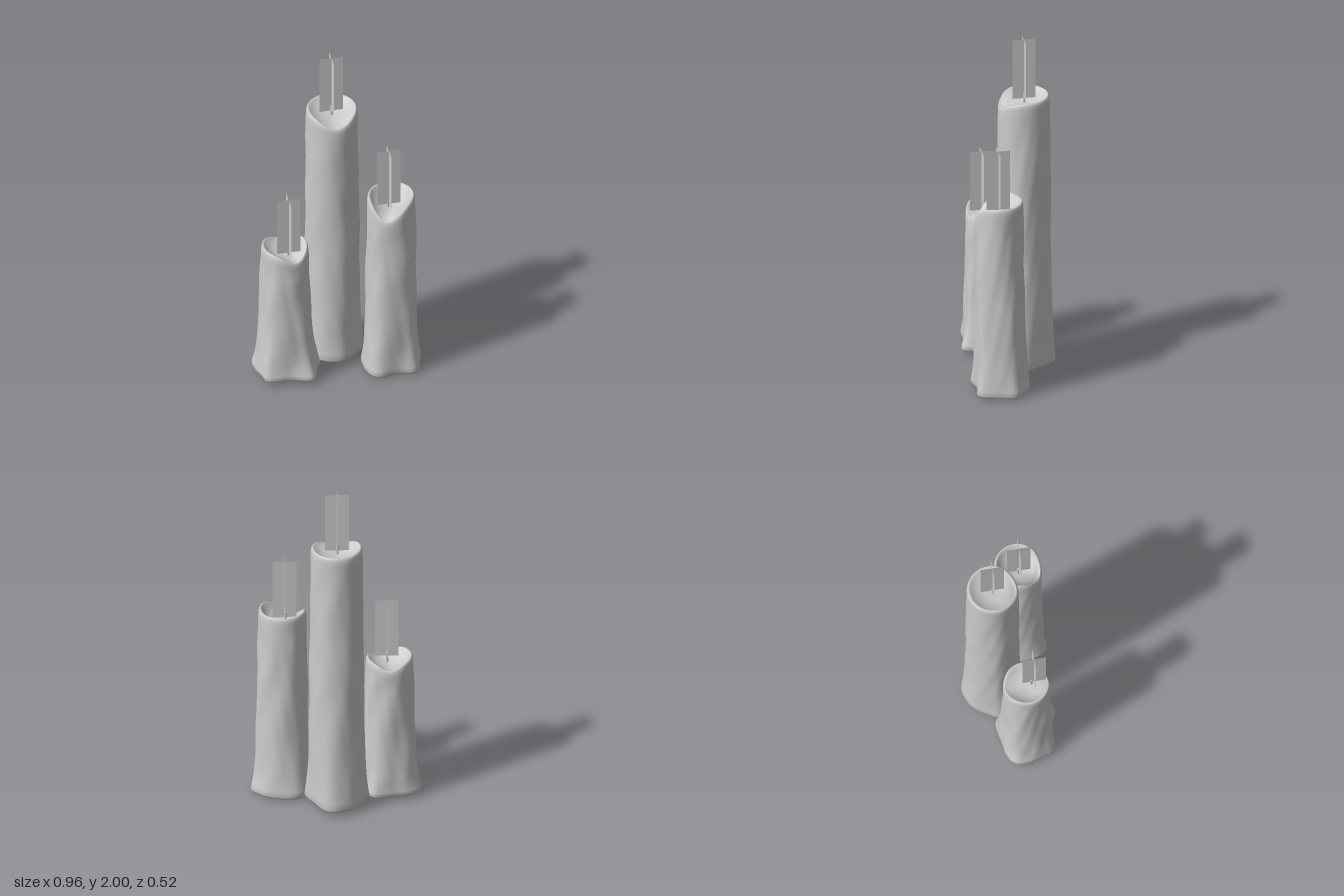
import * as THREE from 'three';

const SIDES = 56;

// x, z outlines of the spread wax at the foot; dips are [angle, width, depth] sags in the rim; flame is x, y, z
const candles = [
  {
    name: 'tallCandle', x: 0, z: -0.086, r: 0.146, base: 0.027, rim: 1.665, floor: 1.615, lump: 0.003,
    foot: [0.02, -0.262, 0.07, -0.245, 0.13, -0.155, 0.18, -0.06, 0.172, -0.03, 0.065, 0.067, 0.02, 0.086,
      -0.06, 0.073, -0.105, 0.045, -0.14, 0, -0.185, -0.075, -0.165, -0.12, -0.1, -0.215, -0.05, -0.245],
    dips: [[1.57, 0.8, 0.06]], flame: [-0.002, 1.64, -0.087], wick: [-0.003, -0.087],
  },
  {
    name: 'shortCandle', x: -0.302, z: 0.055, r: 0.133, base: 0.025, rim: 0.87, floor: 0.81, lump: 0.005,
    foot: [-0.21, -0.108, -0.185, -0.085, -0.1, 0.065, -0.125, 0.115, -0.147, 0.18, -0.165, 0.23, -0.2, 0.234,
      -0.29, 0.205, -0.435, 0.19, -0.45, 0.14, -0.477, 0.05, -0.47, -0.04, -0.41, -0.08, -0.345, -0.09],
    dips: [[1.2, 0.7, 0.06], [-1.57, 0.6, 0.035]], flame: [-0.289, 0.838, 0.1], wick: [-0.29, 0.083],
  },
  {
    name: 'middleCandle', x: 0.297, z: 0.11, r: 0.135, base: 0.005, rim: 1.157, floor: 1.07, lump: 0.004,
    foot: [0.27, -0.066, 0.385, -0.04, 0.45, 0.01, 0.476, 0.04, 0.465, 0.115, 0.425, 0.24, 0.405, 0.255,
      0.31, 0.24, 0.195, 0.257, 0.15, 0.22, 0.13, 0.1, 0.145, 0.025, 0.18, -0.04, 0.225, -0.063],
    dips: [[2.0, 0.8, 0.1]], flame: [0.284, 1.095, 0.114], wick: [0.28, 0.108],
  },
];

// Rings run from the underside, up the melted wall, over the rim and down into the bowl
function waxGeometry(c) {
  const pts = [];
  for (let i = 0; i < c.foot.length; i += 2) pts.push(new THREE.Vector3(c.foot[i] - c.x, 0, c.foot[i + 1] - c.z));
  const foot = new THREE.CatmullRomCurve3(pts, true).getSpacedPoints(SIDES).slice(0, SIDES);
  const columns = foot.map((p) => {
    const a = Math.atan2(p.z, p.x);
    let rim = c.rim;
    for (const [at, width, depth] of c.dips) {
      const d = Math.atan2(Math.sin(a - at), Math.cos(a - at));
      rim -= depth * Math.exp(-((d / width) ** 2));
    }
    return { a, foot: Math.hypot(p.x, p.z), rim };
  });

  const position = [];
  const ring = (fn) => columns.forEach((col) => {
    const [r, y] = fn(col);
    position.push(c.x + Math.cos(col.a) * r, y, c.z + Math.sin(col.a) * r);
  });

  // underside
  ring(() => [0, c.base - 0.005]);
  ring((col) => [col.foot * 0.6, c.base - 0.005]);
  ring((col) => [col.foot * 0.94, c.base]);

  // wall with flared foot and upright, uneven runs of wax
  const STEPS = 40;
  for (let k = 0; k <= STEPS; k++) {
    const t = k / STEPS;
    ring((col) => {
      const low = c.base + 0.016, y = low + (col.rim - 0.035 - low) * t;
      const flare = 0.4 * (1 - t) + 0.6 * Math.exp(-(y - low) * 7);
      const fade = Math.min(1, (1 - t) * 8) * Math.min(1, t * 8);
      const runs = Math.sin(4 * col.a + 0.5 * Math.sin(9 * y)) * Math.sin(6 * y + 2 * Math.cos(col.a))
        + 0.6 * Math.sin(7 * col.a) * Math.sin(15 * y + 3 * Math.sin(2 * col.a));
      return [c.r + (col.foot - c.r) * flare + c.lump * fade * runs, y];
    });
  }

  // rolled rim and bowl
  ring((col) => [c.r * 0.985, col.rim - 0.014]);
  ring((col) => [c.r * 0.95, col.rim - 0.003]);
  ring((col) => [c.r * 0.91, col.rim]);
  ring((col) => [c.r * 0.86, col.rim - 0.006]);
  for (const [r, mix] of [[0.76, 0.65], [0.6, 0.35], [0.35, 0.1], [0, 0]])
    ring((col) => [c.r * r, c.floor + (col.rim - c.floor) * mix]);

  const index = [];
  for (let j = 0; j < position.length / 3 / SIDES - 1; j++)
    for (let i = 0; i < SIDES; i++) {
      const n = (i + 1) % SIDES, a = j * SIDES + i, b = j * SIDES + n;
      index.push(a, a + SIDES, b, b, a + SIDES, b + SIDES);
    }
  const g = new THREE.BufferGeometry();
  g.setAttribute('position', new THREE.Float32BufferAttribute(position, 3));
  g.setIndex(index);
  g.computeVertexNormals();
  return g;
}

export function createModel() {
  const model = new THREE.Group();
  model.name = 'candles';
  const grey = new THREE.MeshStandardMaterial({ color: 0xcccccc, side: THREE.DoubleSide });
  grey.name = 'light grey';

  const add = (parent, name, geometry, x = 0, y = 0, z = 0) => {
    const mesh = new THREE.Mesh(geometry, grey);
    mesh.name = name;
    mesh.position.set(x, y, z);
    parent.add(mesh);
    return mesh;
  };

  for (const c of candles) {
    const candle = new THREE.Group();
    candle.name = c.name;
    add(candle, 'wax', waxGeometry(c));
    add(candle, 'wick', new THREE.CylinderGeometry(0.006, 0.007, 0.07, 8), c.wick[0], c.floor + 0.025, c.wick[1]);

    // flame made of two crossed cards
    const [x, y, z] = c.flame;
    for (const turn of [0, Math.PI / 2])
      add(candle, 'flameCard', new THREE.PlaneGeometry(0.134, 0.36), x, y + 0.18, z).rotation.y = turn;
    model.add(candle);
  }
  return model;
}
